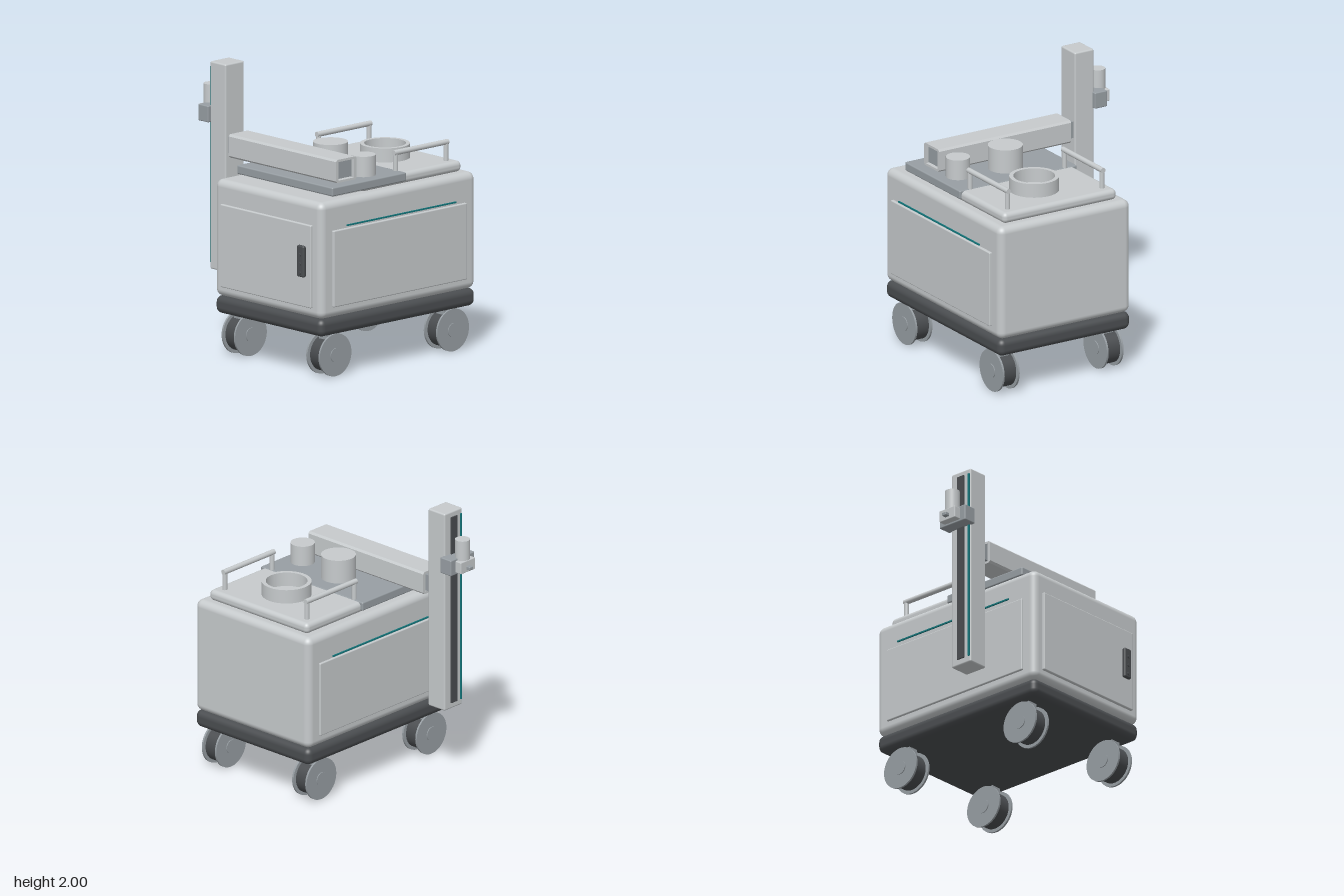
import * as THREE from 'three';
import { RoundedBoxGeometry } from 'three/addons/geometries/RoundedBoxGeometry.js';
import { toCreasedNormals } from 'three/addons/utils/BufferGeometryUtils.js';

function material(name, color) {
  const m = new THREE.MeshStandardMaterial({ color });
  m.name = name;
  return m;
}

export function createModel() {
  const root = new THREE.Group();
  root.name = 'mobileCart';
  const light = material('light grey shell', 0xc6cacc);
  const grey = material('mid grey', 0x979ea3);
  const dark = material('dark grey', 0x4a4d50);
  const teal = material('teal accent', 0x14777c);

  function add(name, geometry, mat, parent = root) {
    const mesh = new THREE.Mesh(geometry, mat);
    mesh.name = name;
    parent.add(mesh);
    return mesh;
  }

  // Box given by its limits on each axis, with optional rounded edges
  function box(name, [x0, x1], [y0, y1], [z0, z1], mat, radius = 0, parent = root) {
    const size = [x1 - x0, y1 - y0, z1 - z0];
    const g = radius
      ? new RoundedBoxGeometry(...size, radius > 0.02 ? 5 : 2, radius)
      : new THREE.BoxGeometry(...size);
    g.translate((x0 + x1) / 2, (y0 + y1) / 2, (z0 + z1) / 2);
    return add(name, g, mat, parent);
  }

  // Upright cylinder between two heights
  function post(name, x, z, r, y0, y1, mat, parent = root) {
    const g = new THREE.CylinderGeometry(r, r, y1 - y0, 40);
    g.translate(x, (y0 + y1) / 2, z);
    return add(name, g, mat, parent);
  }

  // Cabinet and plinth
  box('cabinet', [-0.715, 0.765], [0.435, 1.265], [-0.3, 0.785], light, 0.05);
  box('plinth', [-0.715, 0.765], [0.31, 0.435], [-0.3, 0.785], dark, 0.045);

  // Raised panels and accent strips
  box('frontPanel', [-0.61, 0.66], [0.515, 1.06], [0.77, 0.805], light, 0.008);
  box('backPanel', [-0.61, 0.66], [0.515, 1.06], [-0.315, -0.28], light, 0.008);
  box('sidePanel', [-0.735, -0.7], [0.51, 1.1], [-0.22, 0.7], light, 0.008);
  for (const [name, z] of [['frontStrip', 0.812], ['backStrip', -0.325]]) {
    box(name, [-0.495, 0.545], [1.08, 1.09], [z - 0.005, z + 0.005], teal);
  }

  // Control pad on the side panel
  box('controlPad', [-0.762, -0.732], [0.725, 0.95], [0.585, 0.655], dark, 0.012);
  for (const y of [0.755, 0.82, 0.885]) {
    const g = new THREE.CylinderGeometry(0.012, 0.012, 0.016, 20);
    g.rotateZ(Math.PI / 2).translate(-0.763, y, 0.62);
    add('controlButton', g, dark);
  }

  // Casters: dark drum between two flanges, with hub caps and a mount
  function caster(x, z) {
    const group = new THREE.Group();
    group.name = 'caster';
    group.position.set(x, 0.155, z);
    const disc = (name, r, width, offset, mat) => {
      const g = new THREE.CylinderGeometry(r, r, width, 48);
      g.rotateX(Math.PI / 2).translate(0, 0, offset);
      add(name, g, mat, group);
    };
    disc('tyre', 0.127, 0.12, 0, dark);
    for (const s of [-1, 1]) {
      disc('wheelFlange', 0.151, 0.014, s * 0.062, grey);
      disc('hubCap', 0.05, 0.008, s * 0.071, grey);
    }
    box('casterMount', [-0.06, 0.06], [0.11, 0.165], [-0.038, 0.038], grey, 0, group);
    root.add(group);
  }
  for (const x of [-0.535, 0.585]) for (const z of [-0.186, 0.672]) caster(x, z);

  // Top deck
  box('topTray', [-0.25, 0.7], [1.262, 1.34], [-0.225, 0.71], light, 0.032);
  box('topPlate', [-0.55, 0.155], [1.282, 1.345], [-0.245, 0.725], grey, 0.01);
  box('plateSpacer', [-0.5, -0.2], [1.255, 1.29], [-0.2, 0.68], light);
  post('largeCanister', -0.075, 0.2, 0.122, 1.34, 1.515, light);
  post('smallCanister', -0.108, 0.57, 0.085, 1.34, 1.49, light);

  // Cup holder ring
  const ringShape = new THREE.Shape().absarc(0, 0, 0.174, 0, Math.PI * 2);
  ringShape.holes.push(new THREE.Path().absarc(0, 0, 0.145, 0, Math.PI * 2, true));
  const ring = new THREE.ExtrudeGeometry(ringShape, { depth: 0.105, bevelEnabled: false, curveSegments: 48 });
  ring.rotateX(-Math.PI / 2).translate(0.388, 1.335, 0.26);
  add('cupRing', toCreasedNormals(ring, 0.6), light);

  // Grab handles
  for (const z of [-0.15, 0.63]) {
    const handle = new THREE.Group();
    handle.name = 'grabHandle';
    for (const x of [0.14, 0.62]) post('handlePost', x, z, 0.017, 1.32, 1.475, light, handle);
    const bar = new THREE.CylinderGeometry(0.019, 0.019, 0.515, 24);
    bar.rotateZ(Math.PI / 2).translate(0.379, 1.472, z);
    add('handleBar', bar, light, handle);
    root.add(handle);
  }

  // Hollow horizontal arm with chamfered long edges
  const w = 0.098, h = 0.083, c = 0.014;
  const armShape = new THREE.Shape([
    [-w + c, -h], [w - c, -h], [w, -h + c], [w, h - c],
    [w - c, h], [-w + c, h], [-w, h - c], [-w, -h + c],
  ].map(([x, y]) => new THREE.Vector2(x, y)));
  armShape.holes.push(new THREE.Path(
    [[-0.073, -0.066], [-0.073, 0.066], [0.073, 0.066], [0.073, -0.066]]
      .map(([x, y]) => new THREE.Vector2(x, y))));
  const arm = new THREE.ExtrudeGeometry(armShape, { depth: 1.09, bevelEnabled: false });
  arm.translate(-0.338, 1.427, -0.45);
  add('outerArm', arm, light);
  box('innerArm', [-0.406, -0.27], [1.367, 1.487], [-0.5, 0.62], grey);

  // Vertical column with its rear rail
  box('column', [-0.43, -0.25], [0.52, 2], [-0.645, -0.487], light, 0.012);
  box('columnRail', [-0.371, -0.309], [0.565, 1.96], [-0.655, -0.635], dark);
  box('columnStrip', [-0.421, -0.409], [0.565, 1.96], [-0.652, -0.643], teal);

  // Sliding carriage with motor and knob
  box('carriage', [-0.46, -0.218], [1.567, 1.685], [-0.735, -0.632], grey, 0.008);
  box('motorBlock', [-0.411, -0.265], [1.583, 1.67], [-0.787, -0.725], light, 0.006);
  post('motor', -0.338, -0.733, 0.052, 1.66, 1.815, light);
  box('knob', [-0.357, -0.319], [1.605, 1.63], [-0.82, -0.78], grey, 0.005);

  return root;
}
